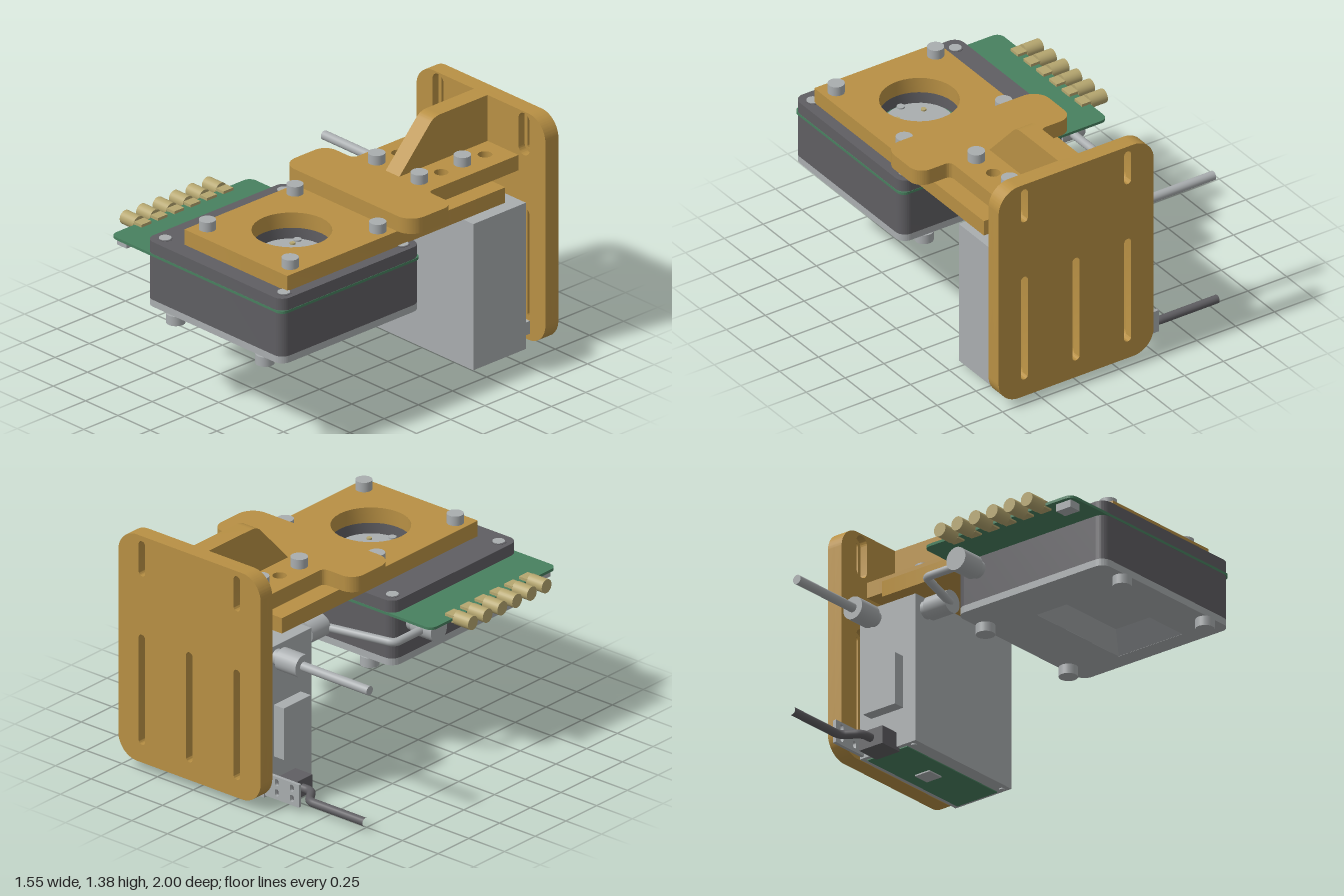
import * as THREE from 'three';
import { toCreasedNormals } from 'three/addons/utils/BufferGeometryUtils.js';

const mat = (name, color, side = THREE.FrontSide) => {
  const m = new THREE.MeshStandardMaterial({ color, side });
  m.name = name;
  return m;
};

// Rounded rectangle, usable as outline or hole
function roundRect(x0, y0, x1, y1, r, Type = THREE.Shape) {
  const s = new Type();
  s.moveTo(x0 + r, y0);
  s.lineTo(x1 - r, y0);
  s.absarc(x1 - r, y0 + r, r, -Math.PI / 2, 0);
  s.lineTo(x1, y1 - r);
  s.absarc(x1 - r, y1 - r, r, 0, Math.PI / 2);
  s.lineTo(x0 + r, y1);
  s.absarc(x0 + r, y1 - r, r, Math.PI / 2, Math.PI);
  s.lineTo(x0, y0 + r);
  s.absarc(x0 + r, y0 + r, r, Math.PI, Math.PI * 1.5);
  return s;
}

const rectHole = (x0, y0, x1, y1, r = 0.002) => roundRect(x0, y0, x1, y1, r, THREE.Path);
const circleHole = (x, y, r) => new THREE.Path().absarc(x, y, r, 0, Math.PI * 2);

function extrude(shape, depth) {
  const g = new THREE.ExtrudeGeometry(shape, { depth, bevelEnabled: false, curveSegments: 16 });
  return toCreasedNormals(g, 0.5);
}

export function createModel() {
  const root = new THREE.Group();
  root.name = 'cameraMount';
  const tan = mat('tan bracket', 0xb89044);
  const grey = mat('light grey metal', 0xa9adaf, THREE.DoubleSide);
  const dark = mat('dark grey housing', 0x5f5e62);
  const green = mat('green board', 0x48805f);
  const brass = mat('brass', 0xb5a66f);

  const add = (name, geo, material) => {
    const m = new THREE.Mesh(geo, material);
    m.name = name;
    root.add(m);
    return m;
  };
  const box = (name, x0, x1, y0, y1, z0, z1, material) =>
    add(name, new THREE.BoxGeometry(x1 - x0, y1 - y0, z1 - z0), material)
      .position.set((x0 + x1) / 2, (y0 + y1) / 2, (z0 + z1) / 2);
  // Horizontal slab: shape coordinates are (x, -z)
  const slab = (name, shape, y0, y1, material) =>
    add(name, extrude(shape, y1 - y0).rotateX(-Math.PI / 2).translate(0, y0, 0), material);
  // Cylinder spanning from a to b along one axis
  const rod = (name, axis, a, b, r, x, y, z, material) => {
    const g = new THREE.CylinderGeometry(r, r, b - a, 28);
    if (axis === 'x') g.rotateZ(Math.PI / 2);
    if (axis === 'z') g.rotateX(Math.PI / 2);
    const m = add(name, g, material);
    m.position.set(x, y, z);
    m.position[axis] = (a + b) / 2;
  };
  // Round cable along straight runs with tight bends
  const cable = (name, pts, r, material) => {
    const p = pts.map((q) => new THREE.Vector3(...q));
    const path = new THREE.CurvePath();
    let from = p[0];
    for (let i = 1; i < p.length - 1; i++) {
      const a = p[i].clone().add(p[i - 1].clone().sub(p[i]).setLength(0.035));
      const b = p[i].clone().add(p[i + 1].clone().sub(p[i]).setLength(0.035));
      path.add(new THREE.LineCurve3(from, a));
      path.add(new THREE.QuadraticBezierCurve3(a, p[i], b));
      from = b;
    }
    path.add(new THREE.LineCurve3(from, p[p.length - 1]));
    add(name, new THREE.TubeGeometry(path, 60, r, 16), material);
  };

  // Back plate in two layers, wider slots in front make the counterbores
  for (const [z0, z1, w] of [[-1, -0.95, 0.0225], [-0.95, -0.905, 0.043]]) {
    const plate = roundRect(-0.222, 0.05, 0.775, 1.38, 0.13);
    const e = w - 0.0225;
    for (const x of [-0.055, 0.61]) plate.holes.push(rectHole(x - w, 1.145 - e, x + w, 1.35 + e, w - 0.001));
    for (const x of [-0.055, 0.2775, 0.61]) plate.holes.push(rectHole(x - w, 0.155 - e, x + w, 0.8 + e, w - 0.001));
    add('backPlate', extrude(plate, z1 - z0).translate(0, 0, z0), tan);
  }

  // Arm: neck plus wide rounded head
  const arm = new THREE.Shape();
  arm.moveTo(-0.01, 0.91);
  arm.lineTo(-0.01, 0.28);
  arm.quadraticCurveTo(-0.01, 0.243, -0.05, 0.243);
  arm.lineTo(-0.15, 0.243);
  arm.absarc(-0.142, 0.163, 0.08, Math.PI / 2, Math.PI);
  arm.lineTo(-0.222, 0.02);
  arm.absarc(-0.122, 0.02, 0.1, Math.PI, Math.PI * 1.5);
  arm.lineTo(0.675, -0.08);
  arm.absarc(0.675, 0.02, 0.1, -Math.PI / 2, 0);
  arm.lineTo(0.775, 0.163);
  arm.absarc(0.695, 0.163, 0.08, 0, Math.PI / 2);
  arm.lineTo(0.605, 0.243);
  arm.quadraticCurveTo(0.567, 0.243, 0.567, 0.28);
  arm.lineTo(0.567, 0.91);
  for (const x of [0.11, 0.44]) for (const s of [0.46, 0.78]) arm.holes.push(circleHole(x, s, 0.039));
  slab('arm', arm, 1.02, 1.11, tan);

  // Gusset rib, profile drawn in (-z, y)
  const rib = new THREE.Shape();
  rib.moveTo(0.25, 1.1);
  rib.lineTo(0.27, 1.12);
  rib.lineTo(0.48, 1.345);
  rib.quadraticCurveTo(0.51, 1.38, 0.56, 1.38);
  rib.lineTo(0.93, 1.38);
  rib.lineTo(0.93, 1.1);
  add('rib', extrude(rib, 0.106).rotateY(Math.PI / 2).translate(0.222, 0, 0), tan);

  // Adapter plate with lens opening
  const adapter = roundRect(-0.122, -0.885, 0.672, 0.71, 0.003);
  adapter.holes.push(circleHole(0.275, -0.475, 0.215));
  for (const x of [0.11, 0.44]) adapter.holes.push(circleHole(x, 0.46, 0.039));
  slab('adapterPlate', adapter, 0.93, 1.02, tan);

  // Screws through arm and adapter
  for (const x of [0.11, 0.44]) for (const z of [-0.3, -0.615]) {
    rod('armScrew', 'y', 1.11, 1.165, 0.047, x, 0, z, grey);
    rod('armNut', 'y', 0.89, 0.93, 0.047, x, 0, z, grey);
  }
  for (const x of [-0.045, 0.595]) for (const z of [0.15, 0.79])
    rod('adapterScrew', 'y', 1.02, 1.075, 0.046, x, 0, z, grey);

  // Camera housing: cover, board, lower shell and base
  const bodyShape = () => roundRect(-0.32, -0.985, 0.737, 0.035, 0.06);
  const cover = bodyShape();
  cover.holes.push(circleHole(0.275, -0.475, 0.215));
  slab('housingCover', cover, 0.86, 0.93, dark);
  slab('circuitBoard', roundRect(-0.59, -0.986, 0.739, 0.037, 0.045), 0.845, 0.86, green);
  const mouth = () => rectHole(-0.05, -0.74, 0.63, -0.3);
  const shell = bodyShape();
  shell.holes.push(mouth());
  slab('housingShell', shell, 0.59, 0.845, dark);
  const base = bodyShape();
  base.holes.push(mouth());
  slab('housingBase', base, 0.55, 0.59, grey);

  // Tapered pocket in the base
  const pocket = new THREE.CylinderGeometry(0.68 * Math.SQRT2, Math.SQRT2, 0.1, 4, 1, true)
    .rotateY(Math.PI / 4).scale(0.34, 1, 0.22).toNonIndexed();
  pocket.computeVertexNormals();
  add('pocketWalls', pocket, grey).position.set(0.29, 0.601, 0.52);
  box('pocketFloor', 0.05, 0.53, 0.65, 0.655, 0.365, 0.675, grey);

  // Housing screws
  for (const x of [-0.25, 0.667]) for (const z of [0.04, 0.905]) {
    rod('screwRim', 'y', 0.928, 0.932, 0.042, x, 0, z, dark);
    rod('coverScrew', 'y', 0.928, 0.935, 0.034, x, 0, z, grey);
  }
  for (const x of [-0.122, 0.567]) for (const z of [0.005, 0.948])
    rod('baseScrew', 'y', 0.495, 0.55, 0.052, x, 0, z, grey);

  // Sensor disc inside the opening
  rod('sensorDisc', 'y', 0.86, 0.88, 0.19, 0.275, 0, 0.475, grey);
  rod('sensorCentre', 'y', 0.88, 0.887, 0.018, 0.275, 0, 0.475, grey);
  for (const dx of [-0.085, 0.085]) for (const dz of [-0.085, 0.085])
    rod('sensorPin', 'y', 0.88, 0.889, 0.015, 0.275 + dx, 0, 0.475 + dz, brass);
  for (const [x, z] of [[0.175, 0.34], [0.375, 0.34], [0.275, 0.65]])
    rod('sensorStud', 'y', 0.88, 0.889, 0.022, x, 0, z, grey);

  // Row of coaxial sockets
  for (let i = 0; i < 6; i++) {
    const z = 0.17 + i * 0.12;
    rod('socketBarrel', 'x', -0.702, -0.595, 0.04, 0, 0.855, z, brass);
    box('socketBlock', -0.598, -0.538, 0.835, 0.876, z - 0.036, z + 0.036, brass);
  }
  box('boardFoot', -0.565, -0.49, 0.803, 0.845, 0.86, 0.96, grey);

  // Electronics box and its underside board
  box('electronicsBox', -0.125, 0.672, 0.02, 0.88, -0.86, -0.475, grey);
  box('undersideBoard', -0.1, 0.65, 0.014, 0.021, -0.83, -0.555, green);
  box('undersideChip', 0.2, 0.3, 0.006, 0.014, -0.75, -0.65, grey);
  for (const x of [-0.09, 0.64]) rod('undersideScrew', 'y', 0.012, 0.02, 0.016, x, 0, -0.515, grey);
  box('rearStrip', -0.03, 0.672, 0.1, 0.175, -0.89, -0.86, grey);
  box('sideCover', -0.195, -0.125, 0.235, 0.537, -0.78, -0.56, grey);

  // Perforated strain relief tab
  const tab = roundRect(-0.36, 0.03, -0.12, 0.163, 0.003);
  for (const x of [-0.31, -0.205]) for (const y of [0.07, 0.13])
    tab.holes.push(rectHole(x - 0.012, y - 0.02, x + 0.012, y + 0.02, 0.01));
  add('reliefTab', extrude(tab, 0.02).translate(0, 0, -0.85), grey);

  // Lower plug and dark cable
  box('lowerPlug', -0.245, -0.1, 0, 0.103, -0.765, -0.605, dark);
  cable('darkCable', [[-0.775, 0.053, -0.79], [-0.38, 0.053, -0.79], [-0.31, 0.053, -0.685], [-0.24, 0.053, -0.685]], 0.024, dark);

  // Upper plug and light cable
  rod('upperPlug', 'x', -0.31, -0.165, 0.065, 0, 0.812, -0.755, grey);
  rod('upperPlugNeck', 'x', -0.165, -0.12, 0.045, 0, 0.812, -0.755, grey);
  rod('lightCable', 'x', -0.775, -0.3, 0.026, 0, 0.812, -0.755, grey);

  // Link cable from box to housing
  rod('linkPlug', 'z', -0.44, -0.295, 0.065, -0.04, 0.81, 0, grey);
  rod('linkPlugNeck', 'z', -0.48, -0.43, 0.05, -0.04, 0.81, 0, grey);
  cable('linkCable', [[-0.04, 0.81, -0.31], [-0.04, 0.81, -0.285], [-0.43, 0.768, -0.15], [-0.43, 0.768, 0.12]].filter((p, i) => i !== 1), 0.023, grey);
  rod('housingPlug', 'x', -0.507, -0.362, 0.066, 0, 0.77, 0.12, grey);
  rod('housingPlugNeck', 'x', -0.37, -0.315, 0.05, 0, 0.77, 0.12, grey);

  return root;
}
